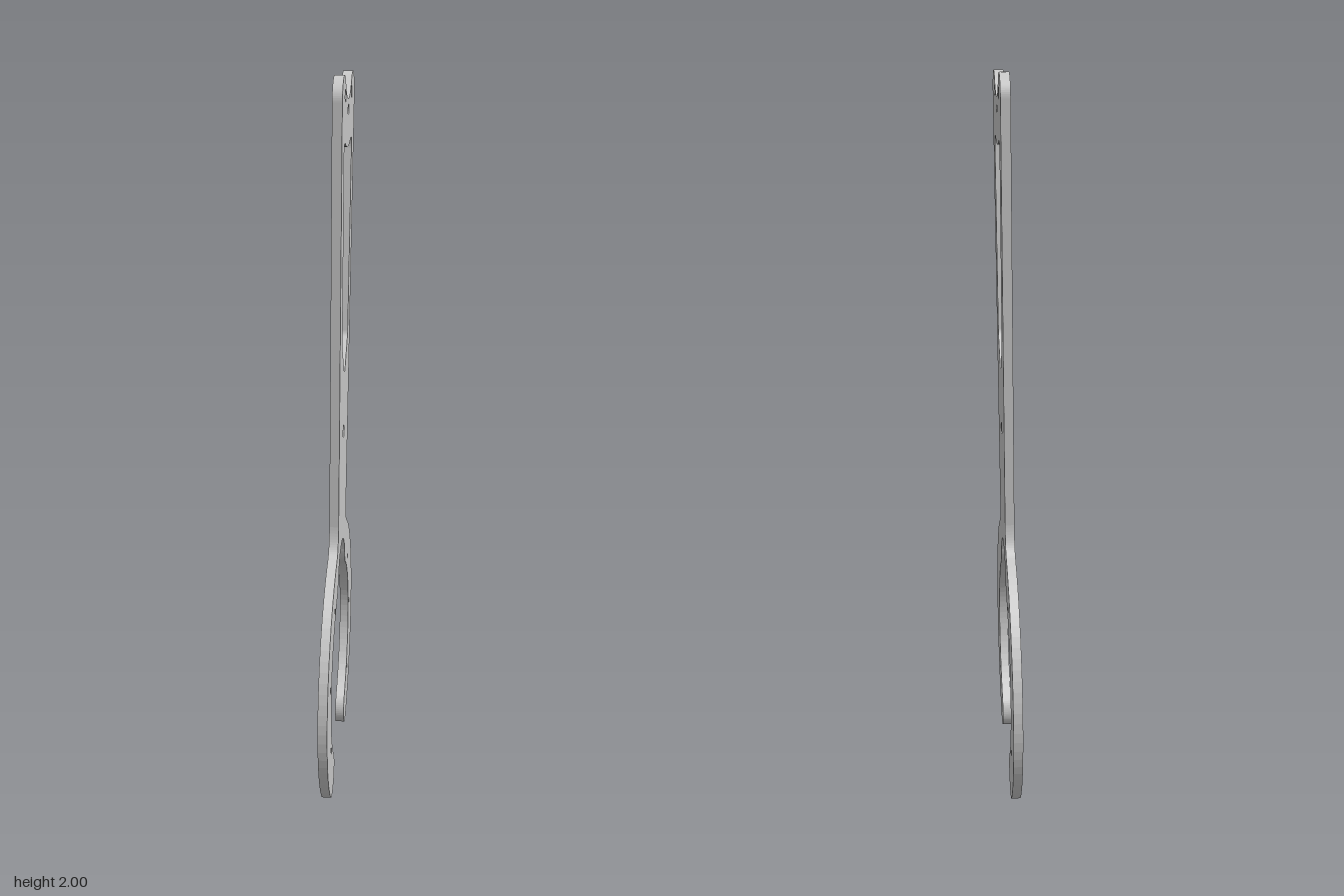
import * as THREE from 'three';

const rad = THREE.MathUtils.degToRad;
const THICKNESS = 0.026;
const TILT = -0.0135;

// Completes a half outline, running clockwise along the centre line, by mirroring
function mirrored(half) {
  const pts = half.getPoints(14);
  const other = pts.slice(1, -1).reverse().map(p => new THREE.Vector2(-p.x, p.y));
  return [...pts, ...other];
}

function roundHole(x, y, r) {
  const hole = new THREE.Path();
  hole.absarc(x, y, r, 0, Math.PI * 2, true);
  return hole;
}

// Outer edge: notched head, tapering shaft, open ring with rounded tips
function plateOutline() {
  const p = new THREE.Path();
  const ringY = 0.327, tip = -50.3;
  p.moveTo(0, 1.935);
  p.absarc(0, 2.048, 0.113, rad(-90), rad(-38.7), false);
  p.absarc(0.135, 1.94, 0.06, rad(141.3), rad(-3.4), true);
  p.lineTo(0.124, 0.785);
  p.quadraticCurveTo(0.125, 0.716, 0.165, 0.699);
  p.absarc(0, ringY, 0.407, rad(66), rad(tip), true);
  p.absarc(0.346 * Math.cos(rad(tip)), ringY + 0.346 * Math.sin(rad(tip)), 0.061,
    rad(tip), rad(tip - 180), true);
  p.absarc(0, ringY, 0.285, rad(tip), rad(59), false);
  p.quadraticCurveTo(0.112, 0.586, 0.1, 0.63);
  p.absarc(0, 0.586, 0.11, rad(24), rad(90), false);
  return mirrored(p);
}

// Long tapered window in the shaft
function windowOutline() {
  const p = new THREE.Path();
  p.moveTo(0, 1.812);
  p.quadraticCurveTo(0.045, 1.812, 0.085, 1.827);
  p.quadraticCurveTo(0.12, 1.836, 0.119, 1.797);
  p.lineTo(0.087, 1.297);
  p.quadraticCurveTo(0.086, 1.286, 0.078, 1.278);
  p.lineTo(0.014, 1.205);
  p.quadraticCurveTo(0.007, 1.198, 0, 1.198);
  return mirrored(p);
}

export function createModel() {
  const group = new THREE.Group();
  const grey = new THREE.MeshStandardMaterial({ color: 0xcacaca });
  grey.name = 'light grey';

  // Outline runs counter-clockwise and holes clockwise, so every wall faces outwards
  const shape = new THREE.Shape(plateOutline().reverse());
  shape.holes.push(new THREE.Path(windowOutline()));

  // Screw holes on the centre line
  shape.holes.push(roundHole(0, 1.907, 0.014), roundHole(0, 1.027, 0.019));

  // Screw holes in pairs on the head and the ring
  const pairs = [[0.097, 1.947, 0.016], [0.202, 0.563, 0.011], [0.309, 0.378, 0.011], [0.272, 0.168, 0.011]];
  for (const [x, y, r] of pairs) {
    for (const side of [-1, 1]) shape.holes.push(roundHole(side * x, y, r));
  }

  // Plate stands in the yz plane and leans slightly towards +x
  const geometry = new THREE.ExtrudeGeometry(shape, { depth: THICKNESS, bevelEnabled: false, curveSegments: 10 });
  geometry.translate(0, -1, -THICKNESS / 2);
  geometry.rotateY(Math.PI / 2);
  geometry.rotateZ(TILT);
  geometry.translate(0, 1, 0);

  const plate = new THREE.Mesh(geometry, grey);
  plate.name = 'forkedPlate';
  group.add(plate);
  return group;
}
